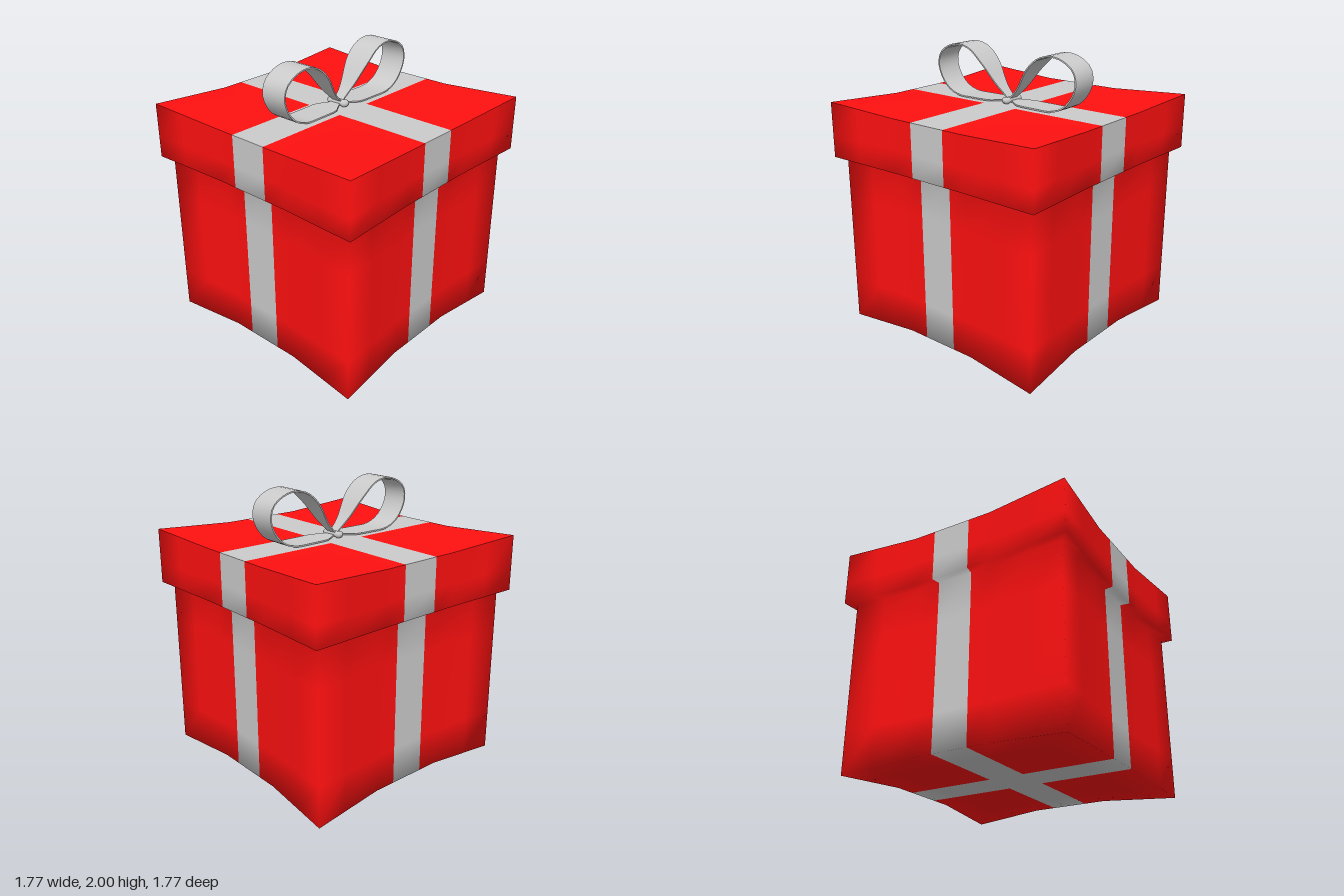
import * as THREE from 'three';
import { mergeVertices, toCreasedNormals } from 'three/addons/utils/BufferGeometryUtils.js';

const red = new THREE.MeshStandardMaterial({ color: 0xff1010 });
const grey = new THREE.MeshStandardMaterial({ color: 0xcccccc });

// Grid columns as fractions of the half width; the middle column is the ribbon
const cols = [-1, -0.72, -0.36, -0.165, 0.165, 0.36, 0.72, 1];
// Grid rows from the bottom up: height, half width, vertical shift at the corners
const rows = [
  [0.04, 0.787, -0.04], [0.3, 0.787, 0], [0.95, 0.787, 0], [1.24, 0.787, 0],
  [1.24, 0.85, 0.01], [1.4, 0.85, 0], [1.615, 0.85, 0.03],
];
const FLARE = 0.035;
const rise = (u) => Math.max(0, (Math.abs(u) - 0.36) / 0.64);

// Box and lid as one stepped skin whose corners are pulled outward
function boxSkin() {
  const n = cols.length - 1, m = rows.length - 1;
  const geo = new THREE.BoxGeometry(1, 1, 1, n, m, n);
  const p = geo.attributes.position;
  for (let i = 0; i < p.count; i++) {
    const ux = cols[Math.round((p.getX(i) + 0.5) * n)];
    const uz = cols[Math.round((p.getZ(i) + 0.5) * n)];
    const [y, half, lift] = rows[Math.round((p.getY(i) + 0.5) * m)];
    const f = rise(ux) * rise(uz);
    p.setXYZ(i, ux * half + Math.sign(ux) * FLARE * f, y + lift * f,
      uz * half + Math.sign(uz) * FLARE * f);
  }
  return geo;
}

// Smooth a share of the skin, then split it into paper and ribbon
function addSkin(group, name, geo, index) {
  let g = new THREE.BufferGeometry();
  g.setAttribute('position', geo.attributes.position.clone());
  g.setIndex(index);
  g = mergeVertices(g, 1e-4);
  g.computeVertexNormals();
  const p = g.attributes.position, paper = [], ribbon = [];
  for (let i = 0; i < g.index.count; i += 3) {
    const t = [0, 1, 2].map((k) => g.index.getX(i + k));
    const cx = t.reduce((s, v) => s + p.getX(v), 0) / 3;
    const cz = t.reduce((s, v) => s + p.getZ(v), 0) / 3;
    (Math.min(Math.abs(cx), Math.abs(cz)) < 0.138 ? ribbon : paper).push(...t);
  }
  for (const [part, list, mat] of [['Paper', paper, red], ['Ribbon', ribbon, grey]]) {
    const piece = g.clone();
    piece.setIndex(list);
    const mesh = new THREE.Mesh(piece, mat);
    mesh.name = name + part;
    group.add(mesh);
  }
}

// One bow loop: a thin band swept along a teardrop path, pinched at the knot
function bowLoop() {
  const path = new THREE.CatmullRomCurve3([
    [0, 1.64], [0.09, 1.73], [0.2, 1.88], [0.3, 1.967], [0.4, 1.993], [0.5, 1.975],
    [0.585, 1.915], [0.607, 1.83], [0.57, 1.73], [0.5, 1.66], [0.41, 1.627],
    [0.28, 1.624], [0.14, 1.626], [0, 1.632],
  ].map(([x, y]) => new THREE.Vector3(x, y, 0)));
  const steps = 40, h = 0.005, pos = [], idx = [];
  for (let i = 0; i <= steps; i++) {
    const p = path.getPointAt(i / steps), t = path.getTangentAt(i / steps);
    const reach = i < steps / 2 ? 0.24 : 0.14;
    const w = 0.1 - 0.06 * (1 - THREE.MathUtils.smoothstep(p.x, 0.02, reach));
    for (const [a, b] of [[h, -w], [h, w], [-h, w], [-h, -w]])
      pos.push(p.x - t.y * a, p.y + t.x * a, b);
    if (i < steps) for (let k = 0; k < 4; k++) {
      const a = i * 4 + k, b = i * 4 + (k + 1) % 4;
      idx.push(a, b, b + 4, a, b + 4, a + 4);
    }
  }
  const g = new THREE.BufferGeometry();
  g.setAttribute('position', new THREE.Float32BufferAttribute(pos, 3));
  g.setIndex(idx);
  return toCreasedNormals(g, 0.7);
}

export function createModel() {
  const model = new THREE.Group();
  model.name = 'giftBox';

  // Box sides, lid rim and bottom shade as one; the lid top has a crisp edge
  const skin = boxSkin();
  const all = Array.from(skin.index.array);
  const top = skin.groups[2];
  const end = top.start + top.count;
  addSkin(model, 'lidTop', skin, all.slice(top.start, end));
  addSkin(model, 'box', skin, [...all.slice(0, top.start), ...all.slice(end)]);

  // Bow
  const bow = new THREE.Group();
  bow.name = 'bow';
  const loop = bowLoop();
  for (const side of ['left', 'right']) {
    const mesh = new THREE.Mesh(loop, grey);
    mesh.name = side + 'BowLoop';
    if (side === 'right') mesh.rotation.y = Math.PI;
    bow.add(mesh);
  }

  // Knot, slightly waisted and lying front to back
  const profile = [[0, -0.085], [0.022, -0.082], [0.036, -0.065], [0.027, -0.035],
    [0.027, 0.035], [0.036, 0.065], [0.022, 0.082], [0, 0.085]];
  const knotGeo = new THREE.LatheGeometry(profile.map(([r, y]) => new THREE.Vector2(r, y)), 12);
  knotGeo.rotateX(Math.PI / 2).scale(1, 0.75, 1);
  const knot = new THREE.Mesh(knotGeo, grey);
  knot.name = 'bowKnot';
  knot.position.y = 1.638;
  bow.add(knot);
  model.add(bow);
  return model;
}
